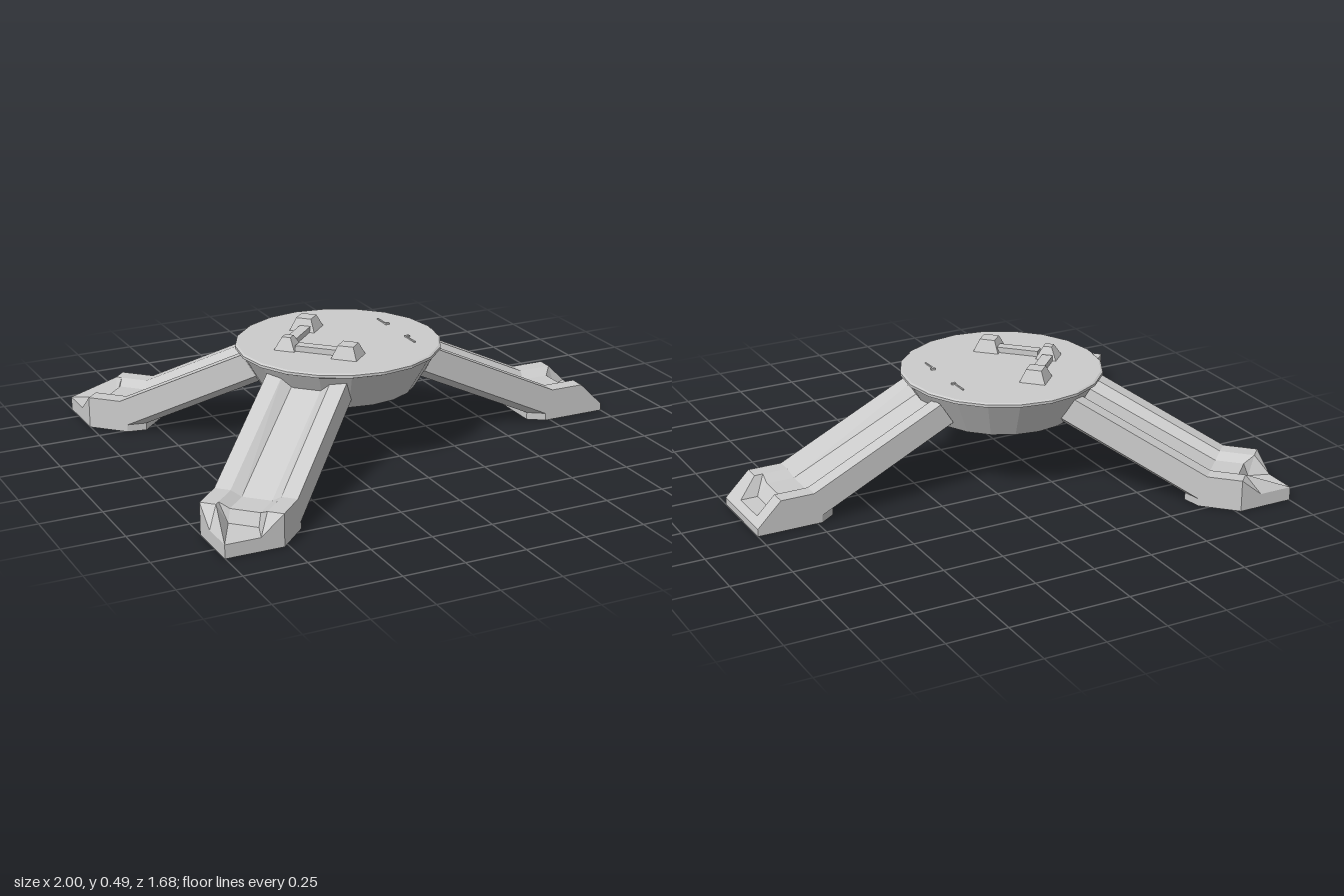
import * as THREE from 'three';

const grey = new THREE.MeshStandardMaterial({ color: 0xcccccc, flatShading: true });

function mesh(name, geometry, parent, x = 0, y = 0, z = 0) {
  const m = new THREE.Mesh(geometry, grey);
  m.name = name;
  m.position.set(x, y, z);
  parent.add(m);
  return m;
}

// Half section -> closed ring. Each point is [along, height, halfWidth]:
// outer rim, inner rim, groove floor, lower side, bottom.
function ring([rim, lip, floor, side, bottom]) {
  const flip = ([u, y, v]) => [u, y, -v];
  return [rim, lip, floor, flip(floor), flip(lip), flip(rim), flip(side), flip(bottom), bottom, side];
}

// Skins a row of rings and closes both ends
function skin(rings) {
  const pos = [];
  const tri = (a, b, c) => {
    const [p, q, r] = [a, b, c].map((k) => new THREE.Vector3(...k));
    if (q.clone().sub(p).cross(r.clone().sub(p)).length() > 1e-8) pos.push(...a, ...b, ...c);
  };
  for (let i = 0; i < rings.length - 1; i++) {
    for (let j = 0; j < 10; j++) {
      const k = (j + 1) % 10;
      tri(rings[i][j], rings[i + 1][j], rings[i + 1][k]);
      tri(rings[i][j], rings[i + 1][k], rings[i][k]);
    }
  }
  const first = rings[0], last = rings[rings.length - 1];
  for (const [a, b, c] of [[0, 1, 9], [1, 8, 9], [1, 2, 8], [2, 3, 8], [3, 7, 8], [3, 4, 7], [4, 6, 7], [4, 5, 6]]) {
    tri(first[a], first[b], first[c]);
    tri(last[c], last[b], last[a]);
  }
  const g = new THREE.BufferGeometry();
  g.setAttribute('position', new THREE.Float32BufferAttribute(pos, 3));
  g.computeVertexNormals();
  return g;
}

const W = 0.165, L = 0.1, F = 0.06, B = 0.12; // half widths: side, lip, groove, bottom

// Sloped grooved beam down to the top and bottom of the foot pad; d shifts it inward
function beam(d) {
  const top = [[0.91 - d, 0.13, W], [0.91 - d, 0.13, L], [0.9 - d, 0.105, F]];
  return [
    [[0.36 - d, 0.395, W], [0.36 - d, 0.395, L], [0.347 - d, 0.365, F], [0.305 - d, 0.31, W], [0.29 - d, 0.283, B]],
    [...top, [0.88 - d, 0.03, W], [0.815 - d, 0.03, B]],
    [...top, [0.88 - d, 0, W], [0.815 - d, 0, B]],
  ];
}

// Foot with a straight bevelled end and a pocket
const bluntLeg = () => skin([
  ...beam(0),
  [[1.015, 0.13, W], [1.015, 0.13, L], [1.015, 0.105, F], [1.015, 0, W], [1.015, 0, B]],
  [[1.05, 0.13, W], [1.05, 0.13, L], [1.055, 0.055, 0.065], [1.05, 0, W], [1.05, 0, B]],
  [[1.125, 0.055, W], [1.125, 0.055, L], [1.125, 0.055, 0.065], [1.125, 0, W], [1.125, 0, B]],
  [[1.15, 0.03, W], [1.15, 0.03, L], [1.15, 0.03, 0.065], [1.15, 0, W], [1.15, 0, B]],
].map(ring));

// Foot with a pointed end and a pocket open to the tip
const pointedLeg = () => skin([
  ...beam(0.025),
  [[1.0, 0.13, W], [1.0, 0.13, L], [0.99, 0.105, F], [1.0, 0, W], [1.0, 0, B]],
  [[1.025, 0.13, W], [1.025, 0.13, L], [1.01, 0.055, F], [1.025, 0, W], [1.025, 0, B]],
  [[1.025, 0.13, W], [1.09, 0.055, L], [1.19, 0.055, 0], [1.025, 0, W], [1.19, 0, 0]],
].map(ring));

export function createModel() {
  const model = new THREE.Group();
  model.name = 'tripodBase';

  // Round platform
  const profile = [[0, 0.265], [0.312, 0.265], [0.4, 0.417], [0.413, 0.422], [0.413, 0.433], [0.405, 0.438], [0, 0.438]]
    .map(([r, y]) => new THREE.Vector2(r, y));
  mesh('platform', new THREE.LatheGeometry(profile, 20), model, -0.15);

  // Three legs
  mesh('leftLeg', bluntLeg(), model, -0.15);
  for (const s of [1, -1]) {
    const leg = mesh(s > 0 ? 'backRightLeg' : 'frontRightLeg', pointedLeg(), model, -0.16);
    leg.rotation.y = s * Math.PI * 0.75;
  }

  // Raised bracket on the platform
  const bracket = new THREE.Group();
  bracket.name = 'bracket';
  model.add(bracket);
  mesh('bracketCentre', new THREE.CylinderGeometry(0.025, 0.065, 0.055, 4), bracket, -0.37, 0.4605, 0);
  for (const s of [1, -1]) {
    mesh('bracketBlock', new THREE.CylinderGeometry(0.045, 0.078, 0.055, 4), bracket, -0.2, 0.4605, s * 0.195);
    const arm = mesh('bracketArm', new THREE.BoxGeometry(0.2, 0.03, 0.045), bracket, -0.275, 0.446, s * 0.105);
    arm.rotation.y = -s * Math.PI / 4;
    // Small catches opposite the bracket
    mesh('catch', new THREE.BoxGeometry(0.006, 0.008, 0.08), model, 0.11, 0.439, s * 0.125);
    mesh('catchTip', new THREE.BoxGeometry(0.018, 0.01, 0.012), model, 0.115, 0.44, s * 0.09);
  }
  return model;
}
